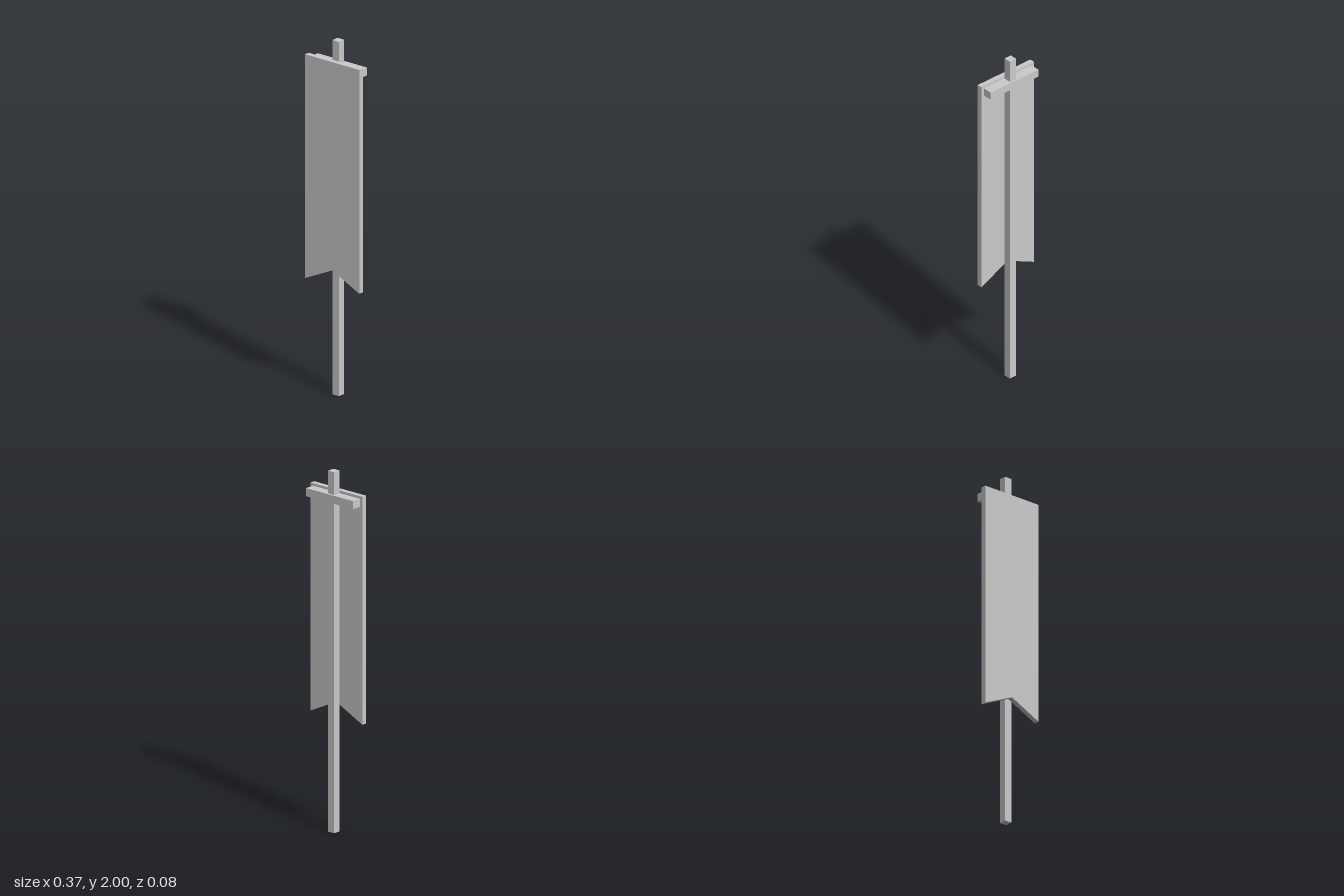
import * as THREE from 'three';

export function createModel() {
  const group = new THREE.Group();
  const material = new THREE.MeshStandardMaterial({ color: 0xcccccc, flatShading: true });
  const add = (name, geometry, x, y, z) => {
    const mesh = new THREE.Mesh(geometry, material);
    mesh.name = name;
    mesh.position.set(x, y, z);
    group.add(mesh);
  };

  const clothBack = 0.013; // plane where the cloth meets the pole and crossbar

  // Square upright pole
  add('pole', new THREE.BoxGeometry(0.044, 2, 0.043), 0, 1, clothBack - 0.0215);

  // Crossbar that carries the cloth
  add('crossbar', new THREE.BoxGeometry(0.335, 0.045, 0.055), 0, 1.852, clothBack - 0.0275);

  // Hanging cloth with a swallowtail notch
  const cloth = new THREE.Shape([
    [-0.185, 0.626], [0, 0.713], [0.185, 0.626], [0.185, 1.889], [-0.185, 1.889],
  ].map(([x, y]) => new THREE.Vector2(x, y)));
  add('banner', new THREE.ExtrudeGeometry(cloth, { depth: 0.029, bevelEnabled: false }), 0, 0, clothBack);

  return group;
}
